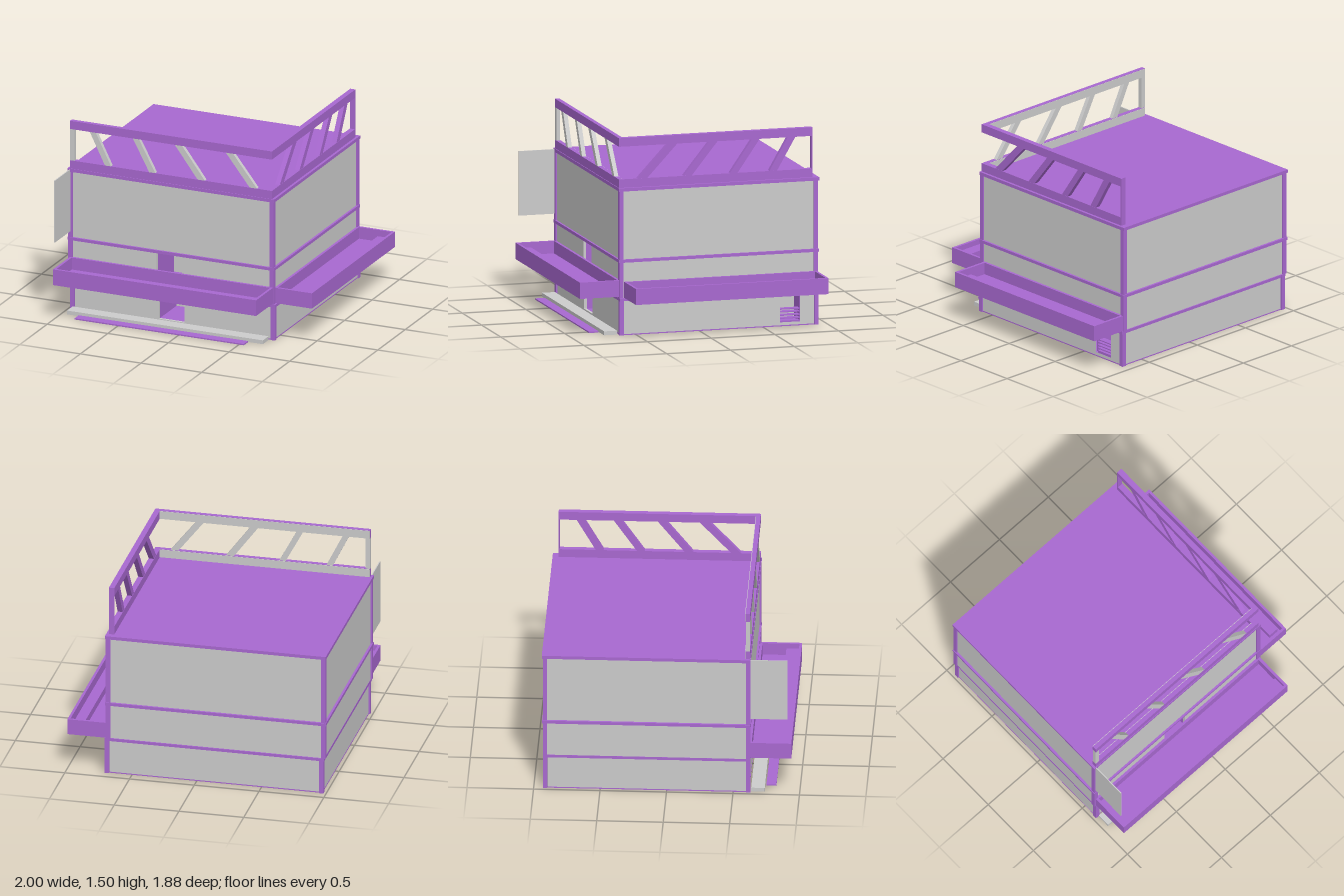
import * as THREE from 'three';

const grey = new THREE.MeshStandardMaterial({ color: 0xcccccc });
const purple = new THREE.MeshStandardMaterial({ color: 0xa868d0 });

export function createModel() {
  const model = new THREE.Group();
  model.name = 'building';

  // Box given by its limits on each axis
  function box(name, mat, [x0, x1], [y0, y1], [z0, z1], parent = model) {
    const mesh = new THREE.Mesh(new THREE.BoxGeometry(x1 - x0, y1 - y0, z1 - z0), mat);
    mesh.position.set((x0 + x1) / 2, (y0 + y1) / 2, (z0 + z1) / 2);
    mesh.name = name;
    parent.add(mesh);
    return mesh;
  }

  // Flat polygon (u, y) extruded; along x facing +z, or along z facing +x
  function slab(name, mat, points, hole, depth, axis, offset, parent = model) {
    const sign = axis === 'x' ? 1 : -1;
    const toVec = ([u, y]) => new THREE.Vector2(u * sign, y);
    const shape = new THREE.Shape(points.map(toVec));
    if (hole) shape.holes.push(new THREE.Path(hole.map(toVec)));
    const geo = new THREE.ExtrudeGeometry(shape, { depth, bevelEnabled: false });
    if (axis === 'z') geo.rotateY(Math.PI / 2);
    const mesh = new THREE.Mesh(geo, mat);
    mesh.position[axis === 'x' ? 'z' : 'x'] = offset;
    mesh.name = name;
    parent.add(mesh);
  }
  const rect = (u0, u1, y0, y1) => [[u0, y0], [u1, y0], [u1, y1], [u0, y1]];

  // Storeys: walls, openings and corner posts
  const storeys = [
    { name: 'lower', x: [-0.98, 0.71], y: [0, 0.285], door: [-0.25, -0.04, 0.03, 0.26], window: [-0.79, -0.63, 0.03, 0.23] },
    { name: 'middle', x: [-0.995, 0.7], y: [0.285, 0.57], door: [-0.27, -0.06, 0.3, 0.555] },
    { name: 'upper', x: [-0.995, 0.7], y: [0.57, 1.12] },
  ];
  const T = 0.02;
  for (const s of storeys) {
    const g = new THREE.Group();
    g.name = s.name + 'Storey';
    model.add(g);
    const [x0, x1] = s.x, [y0, y1] = s.y;
    const wx0 = x0 + 0.012, wx1 = x1 - 0.012, wz0 = -0.918, wz1 = 0.618;
    slab('frontWall', grey, rect(wx0, wx1, y0, y1), s.door && rect(...s.door), T, 'x', wz1 - T, g);
    slab('rightWall', grey, rect(wz0, wz1, y0, y1), s.window && rect(...s.window), T, 'z', wx1 - T, g);
    box('backWall', grey, [wx0, wx1], [y0, y1], [wz0, wz0 + T], g);
    box('leftWall', grey, [wx0, wx0 + T], [y0, y1], [wz0, wz1], g);

    // Deep doorway with purple jambs
    if (s.door) {
      const [a, b, c, d] = s.door, z = [0.3, wz1 - T];
      box('doorJamb', purple, [a - 0.01, a], [c, d], z, g);
      box('doorJamb', purple, [b, b + 0.01], [c, d], z, g);
      box('doorFloor', purple, [a, b], [c - 0.01, c], z, g);
      box('doorHead', purple, [a, b], [d, d + 0.01], z, g);
      box('doorBack', grey, [a, b], [c, d], [0.29, 0.3], g);
      if (s.name === 'lower') box('doorTransom', purple, [a, b], [0.228, 0.236], [0.595, 0.61], g);
    }
    // Side window with slats
    if (s.window) {
      const [a, b, c, d] = s.window, x = [wx1 - 0.16, wx1 - T];
      box('windowJamb', purple, x, [c, d], [a - 0.01, a], g);
      box('windowJamb', purple, x, [c, d], [b, b + 0.01], g);
      box('windowSill', purple, x, [c - 0.01, c], [a, b], g);
      box('windowHead', purple, x, [d, d + 0.01], [a, b], g);
      box('windowBack', grey, [x[0] - 0.01, x[0]], [c, d], [a, b], g);
      for (const y of [0.03, 0.052, 0.075, 0.1, 0.122])
        box('windowSlat', purple, [wx1 - 0.07, wx1 - 0.02], [y, y + 0.008], [a, b], g);
    }
    // Corner posts
    for (const px of [[x0, x0 + 0.035], [x1 - 0.035, x1]])
      for (const pz of [[-0.93, -0.898], [0.598, 0.63]])
        box('cornerPost', purple, px, [y0, y1], pz, g);
  }

  // Base, roof and string courses
  box('basePlate', purple, [-0.97, 0.7], [0, 0.008], [-0.92, 0.62]);
  box('lowerBand', purple, [-0.985, 0.712], [0.263, 0.285], [-0.928, 0.63]);
  box('middleBand', purple, [-1, 0.705], [0.555, 0.578], [-0.935, 0.633]);
  box('roofSlab', purple, [-1, 0.705], [1.1, 1.125], [-0.938, 0.633]);

  // Balcony trays: floor, rim walls and an inner ledge
  function tray(name, x, y, z, ledgeX, ledgeZ) {
    const g = new THREE.Group();
    g.name = name;
    model.add(g);
    const r = 0.02;
    box('trayFloor', purple, x, [y[0], y[0] + 0.03], z, g);
    box('trayRim', purple, [x[0], x[0] + r], y, z, g);
    box('trayRim', purple, [x[1] - r, x[1]], y, z, g);
    box('trayRim', purple, x, y, [z[0], z[0] + r], g);
    box('trayRim', purple, x, y, [z[1] - r, z[1]], g);
    box('trayLedge', purple, ledgeX, [y[0], y[0] + 0.085], ledgeZ, g);
  }
  tray('frontBalcony', [-0.98, 0.695], [0.295, 0.42], [0.62, 0.938], [-0.96, 0.675], [0.82, 0.918]);
  tray('rightBalcony', [0.69, 0.998], [0.285, 0.407], [-0.923, 0.59], [0.88, 0.96], [-0.87, 0.54]);

  // Front steps
  box('upperStep', grey, [-0.955, 0.66], [0, 0.03], [0.635, 0.737]);
  box('lowerStep', purple, [-0.855, 0.54], [0, 0.01], [0.745, 0.82]);

  // Thin side panel projecting at the front corner
  box('sidePanel', grey, [-0.984, -0.976], [0.625, 1.118], [0.63, 0.91]);

  // Rooftop trusses: [top start, bottom start, width] for each slanted strut
  const brace = (t, b, w) => [[b, 1.185], [b + w, 1.185], [t + w, 1.445], [t, 1.445]];
  const front = new THREE.Group();
  front.name = 'frontTruss';
  const right = new THREE.Group();
  right.name = 'rightTruss';
  model.add(front, right);
  for (const y of [[1.12, 1.19], [1.44, 1.505]]) {
    box('frontRail', purple, [-0.98, 0.685], y, [0.594, 0.628], front);
    box('frontRailLining', grey, [-0.978, 0.645], [y[0], y[1] - 0.002], [0.59, 0.594], front);
    box('rightRail', purple, [0.643, 0.685], y, [-0.892, 0.626], right);
  }
  for (const [t, b, w] of [[-0.82, -0.69, 0.05], [-0.465, -0.325, 0.05], [-0.12, 0.075, 0.06], [0.3, 0.505, 0.06]])
    slab('frontStrut', grey, brace(t, b, w), null, 0.032, 'x', 0.595, front);
  for (const [t, b, w] of [[0.165, 0.41, 0.075], [-0.15, 0.06, 0.065], [-0.48, -0.3, 0.06], [-0.76, -0.61, 0.06]])
    slab('rightStrut', purple, brace(t, b, w), null, 0.038, 'z', 0.645, right);
  box('frontEndPost', grey, [-0.98, -0.945], [1.19, 1.44], [0.596, 0.626], front);
  box('rightEndPost', purple, [0.643, 0.685], [1.19, 1.44], [-0.892, -0.884], right);

  return model;
}
